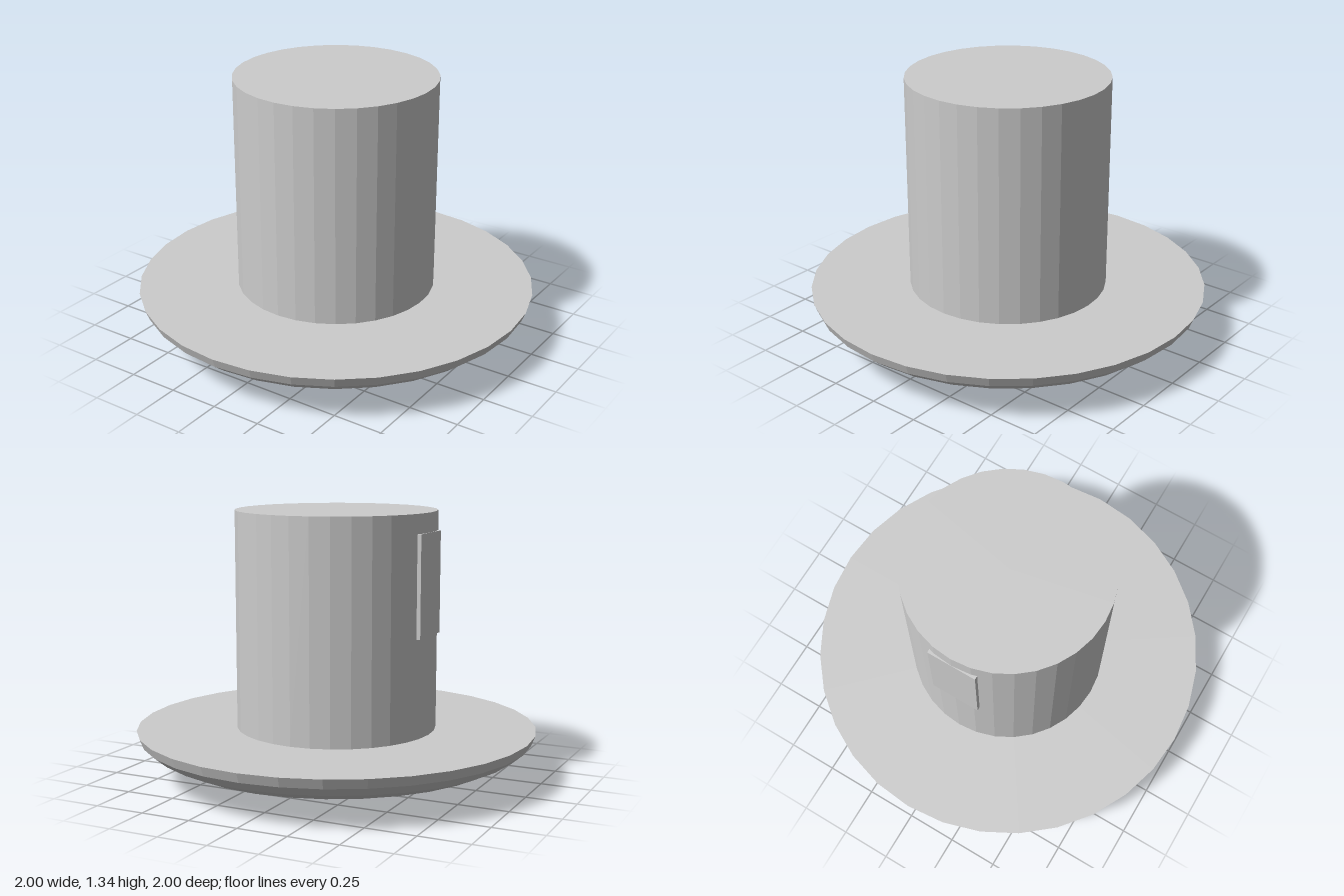
import * as THREE from 'three';

export function createModel() {
  const group = new THREE.Group();
  const grey = new THREE.MeshStandardMaterial({ color: 0xcccccc, flatShading: true });
  grey.name = 'plain grey';

  const add = (name, geometry, x, y, z) => {
    const mesh = new THREE.Mesh(geometry, grey);
    mesh.name = name;
    mesh.position.set(x, y, z);
    group.add(mesh);
    return mesh;
  };

  const SIDES = 32, BRIM_Y = 0.25, TOP_Y = 1.335;

  // Shallow bowl: lower half of a flattened sphere
  const bowl = new THREE.SphereGeometry(1, SIDES, 8, 0, Math.PI * 2, Math.PI / 2, Math.PI / 2);
  bowl.scale(1, BRIM_Y, 1);
  add('bowlBase', bowl, 0, BRIM_Y, 0);

  // Flat disc closing the bowl
  const disc = new THREE.CircleGeometry(1, SIDES);
  disc.rotateX(-Math.PI / 2);
  add('brimTop', disc, 0, BRIM_Y, 0);

  // Upright drum
  const height = TOP_Y - BRIM_Y;
  add('drum', new THREE.CylinderGeometry(0.5, 0.5, height, SIDES), 0, BRIM_Y + height / 2, 0);

  // Thin panel set into the drum's right side
  add('sidePanel', new THREE.BoxGeometry(0.025, 0.5, 0.25), -0.489, 0.99, 0);

  return group;
}
